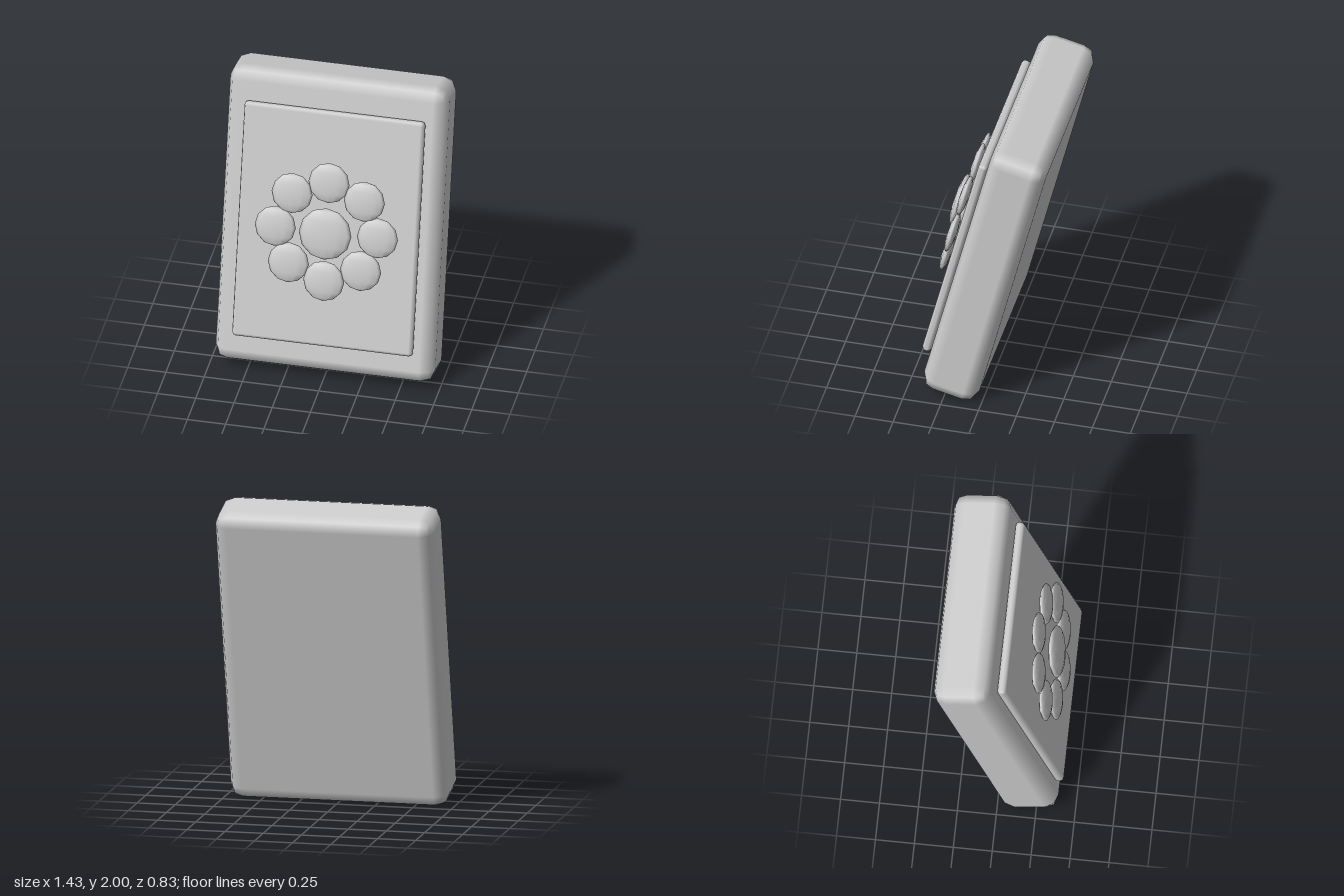
import * as THREE from 'three';
import { RoundedBoxGeometry } from 'three/addons/geometries/RoundedBoxGeometry.js';

export function createModel() {
  const model = new THREE.Group();
  model.name = 'flowerTablet';

  const grey = new THREE.MeshStandardMaterial({ color: 0xcccccc });
  grey.name = 'light grey';

  // Everything leans back together
  const tablet = new THREE.Group();
  tablet.name = 'leaningTablet';
  tablet.position.set(0, 1, -0.013);
  tablet.rotation.x = -0.24;
  model.add(tablet);

  const add = (name, geometry, x, y, z) => {
    const mesh = new THREE.Mesh(geometry, grey);
    mesh.name = name;
    mesh.position.set(x, y, z);
    tablet.add(mesh);
    return mesh;
  };

  // Thick slab and raised front panel, both with softly bevelled edges
  add('body', new RoundedBoxGeometry(1.435, 2.015, 0.375, 1, 0.09), 0, 0, 0);
  add('frontPanel', new RoundedBoxGeometry(1.18, 1.6, 0.06, 1, 0.025), 0, 0, 0.22);

  // Flower of flattened low-poly spheres
  const bead = new THREE.SphereGeometry(1, 12, 6);
  add('flowerCentre', bead, 0, 0.003, 0.335).scale.set(0.172, 0.175, 0.035);
  for (let i = 0; i < 8; i++) {
    const a = (i * Math.PI) / 4;
    const petal = add(`petal${i + 1}`, bead, 0.334 * Math.cos(a), 0.334 * Math.sin(a) + 0.003, 0.297);
    petal.scale.set(0.134, 0.136, 0.03);
  }

  return model;
}
